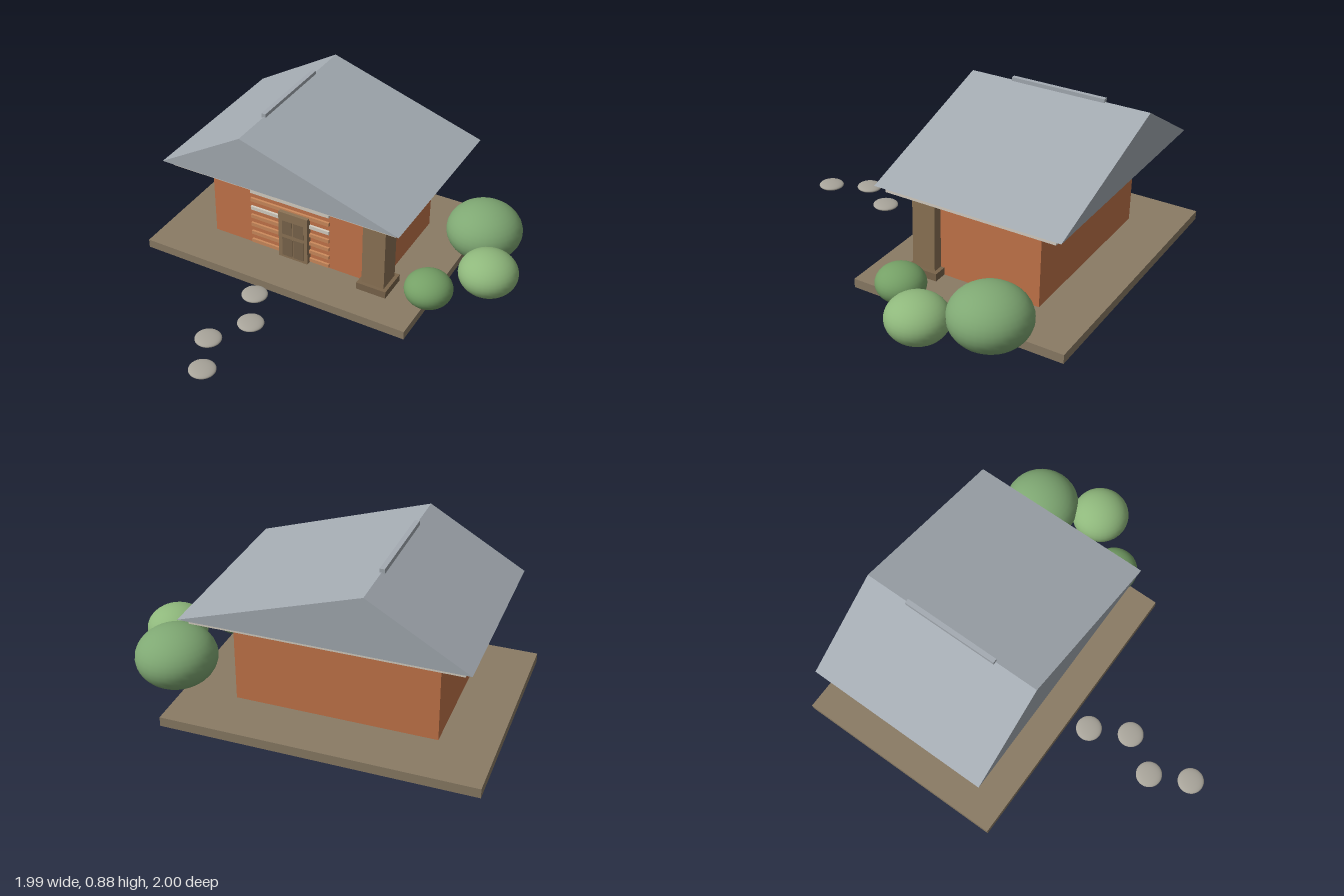
import * as THREE from 'three';

const paint = (color) => new THREE.MeshStandardMaterial({ color });
const EARTH = paint(0x8a7b65), BRICK = paint(0xc4754a), SLAT = paint(0xcc8a5c),
  CREAM = paint(0xd6cfc3), SLATE = paint(0xa4abb2), WOOD = paint(0x8c7355),
  DARK_WOOD = paint(0x7a654b), STONE = paint(0xa8a49a);

export function createModel() {
  const model = new THREE.Group();
  model.name = 'cottage';

  const add = (parent, name, geometry, material) => {
    const mesh = new THREE.Mesh(geometry, material);
    mesh.name = name;
    parent.add(mesh);
    return mesh;
  };

  // Box given by its [min, max] extent on each axis
  const box = (parent, name, [x0, x1], [y0, y1], [z0, z1], material) => {
    const mesh = add(parent, name, new THREE.BoxGeometry(x1 - x0, y1 - y0, z1 - z0), material);
    mesh.position.set((x0 + x1) / 2, (y0 + y1) / 2, (z0 + z1) / 2);
    return mesh;
  };

  // Flattened ball for bushes and stepping stones
  const blob = (name, x, y, z, radius, flatness, material) => {
    const mesh = add(model, name, new THREE.SphereGeometry(radius, 32, 18), material);
    mesh.position.set(x, y, z);
    mesh.scale.y = flatness;
  };

  // Ground slab and walls
  box(model, 'groundSlab', [-1, 0.6], [0, 0.05], [-1, 0.2], EARTH);
  box(model, 'walls', [-0.72, 0.32], [0.05, 0.53], [-0.715, -0.075], BRICK);

  // Eaves board, off-centre gable roof and ridge cap
  box(model, 'eaves', [-0.87, 0.475], [0.53, 0.57], [-0.87, 0.08], CREAM);
  const gable = new THREE.Shape([[-0.91, 0.568], [0.51, 0.568], [-0.41, 0.862]]
    .map(([x, y]) => new THREE.Vector2(x, y)));
  const roof = add(model, 'roof',
    new THREE.ExtrudeGeometry(gable, { depth: 1.035, bevelEnabled: false }), SLATE);
  roof.position.z = -0.913;
  box(model, 'ridgeCap', [-0.425, -0.4], [0.855, 0.88], [-0.665, -0.125], SLATE);

  // Horizontal slats on the front wall
  const slats = new THREE.Group();
  slats.name = 'frontSlats';
  model.add(slats);
  for (let i = 0; i < 9; i++) {
    const y = 0.069 + i * 0.0558;
    box(slats, 'slat', [-0.475, 0.015], [y - 0.011, y + 0.011], [-0.085, -0.062],
      i === 4 || i === 6 ? CREAM : SLAT);
  }

  // Door with four panels
  const door = new THREE.Group();
  door.name = 'door';
  model.add(door);
  box(door, 'doorLeaf', [-0.285, -0.105], [0.05, 0.35], [-0.08, -0.04], WOOD);
  for (const x of [-0.23, -0.16]) {
    for (const [y0, y1] of [[0.065, 0.188], [0.21, 0.3]]) {
      box(door, 'doorPanel', [x - 0.031, x + 0.031], [y0, y1], [-0.045, -0.037], DARK_WOOD);
    }
  }

  // Corner pillar with plinth and cap, set on the wall corner
  const pillar = new THREE.Group();
  pillar.name = 'cornerPillar';
  model.add(pillar);
  for (const [name, half, y0, y1, material] of [
    ['pillarPlinth', 0.087, 0.05, 0.092, DARK_WOOD],
    ['pillarShaft', 0.066, 0.09, 0.515, WOOD],
    ['pillarCap', 0.097, 0.512, 0.532, DARK_WOOD],
  ]) {
    box(pillar, name, [0.311 - half, 0.311 + half], [y0, y1], [-0.077 - half, -0.077 + half], material);
  }

  // Bushes along the left side of the house
  blob('largeBush', 0.678, 0.182, -0.65, 0.211, 0.75, paint(0x7fa873));
  blob('mediumBush', 0.83, 0.148, -0.345, 0.162, 0.75, paint(0x8fb87c));
  blob('smallBush', 0.6, 0.13, -0.09, 0.131, 0.75, paint(0x75a066));

  // Winding path of stepping stones
  for (const [x, z] of [[-0.225, 0.315], [-0.122, 0.52], [-0.248, 0.725], [-0.148, 0.928]]) {
    blob('steppingStone', x, 0.05, z, 0.071, 0.25, STONE);
  }

  return model;
}
